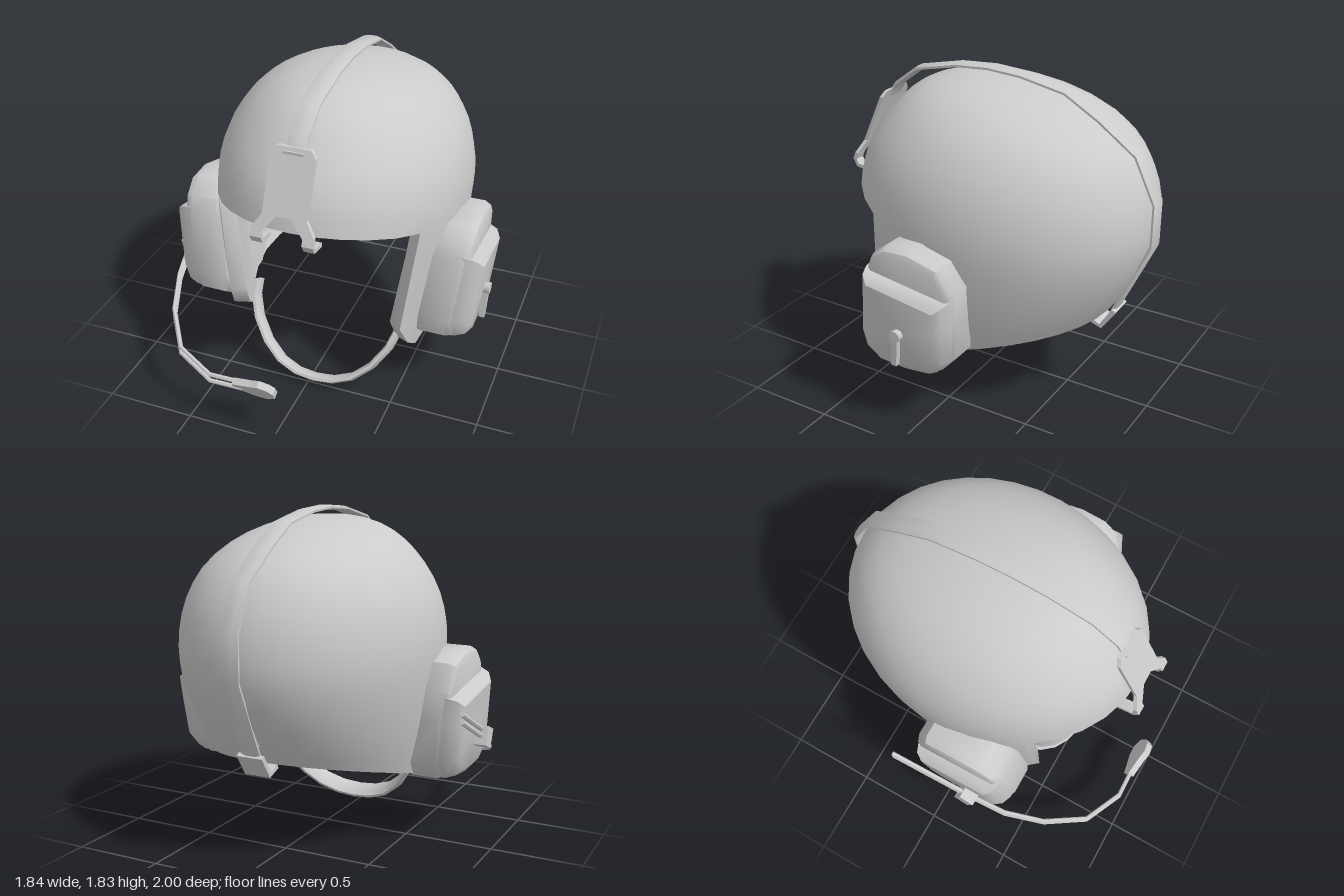
import * as THREE from 'three';
import { toCreasedNormals } from 'three/addons/utils/BufferGeometryUtils.js';

const V = (x, y, z) => new THREE.Vector3(x, y, z);
const clamp01 = (v) => Math.min(1, Math.max(0, v));
const CX = 0.02; // centre line of the helmet
const material = new THREE.MeshStandardMaterial({ color: 0xcccccc, side: THREE.DoubleSide });

function addMesh(parent, name, geometry) {
  const mesh = new THREE.Mesh(geometry, material);
  mesh.name = name;
  parent.add(mesh);
  return mesh;
}

// Skin over rows of points; every row is a closed loop of equal length
function skin(rows, crease = 0.75) {
  const out = [];
  const tri = (a, b, c) => {
    const area = b.clone().sub(a).cross(c.clone().sub(a)).length();
    if (area > 1e-7) for (const p of [a, b, c]) out.push(p.x, p.y, p.z);
  };
  const n = rows[0].length;
  for (let i = 0; i < rows.length - 1; i++) {
    for (let j = 0; j < n; j++) {
      const k = (j + 1) % n;
      tri(rows[i][j], rows[i + 1][j], rows[i][k]);
      tri(rows[i + 1][j], rows[i + 1][k], rows[i][k]);
    }
  }
  const geometry = new THREE.BufferGeometry();
  geometry.setAttribute('position', new THREE.Float32BufferAttribute(out, 3));
  return toCreasedNormals(geometry, crease);
}

// Band with an oval (8 sides) or square (4 sides) section; side is its width direction
function sweep(points, side, halfW, halfT, sides = 8) {
  const rows = points.map((p, i) => {
    const t = points[Math.min(i + 1, points.length - 1)].clone()
      .sub(points[Math.max(i - 1, 0)]).normalize();
    const s = side.clone().addScaledVector(t, -side.dot(t)).normalize();
    const n = s.clone().cross(t);
    const k = sides === 4 ? Math.SQRT2 : 1;
    return Array.from({ length: sides }, (_, j) => {
      const a = ((j + 0.5) / sides) * Math.PI * 2;
      return p.clone().addScaledVector(s, Math.cos(a) * halfW * k)
        .addScaledVector(n, Math.sin(a) * halfT * k);
    });
  });
  const cap = (p) => Array.from({ length: sides }, () => p);
  return skin([cap(points[0]), ...rows, cap(points[points.length - 1])]);
}

// Point on the shell at height y and angle a from the front; inset gives the lining
function shellPoint(y, a, inset) {
  let w, front, back;
  if (y > 1.08) {
    const f = Math.pow(Math.max(0, 1 - Math.pow((y - 1.08) / 0.71, 2.2)), 1 / 2.2);
    const c = -0.1 + 0.14 * clamp01((y - 1.5) / 0.29) ** 2;
    [w, front, back] = [0.705 * f, c + 0.87 * f, c - 0.87 * f];
  } else {
    w = 0.705 - 0.14 * Math.pow((1.08 - y) / 0.8, 1.5);
    [front, back] = [0.77, -0.97 + 0.23 * Math.pow((1.08 - y) / 0.52, 1.7)];
  }
  const b = THREE.MathUtils.radToDeg(Math.acos(Math.cos(a)));
  const cheek = clamp01((b - 44) / 11) * clamp01((105 - b) / 30) * clamp01((1.3 - y) / 0.3);
  const t = inset ? 0.02 + 0.07 * cheek : 0;
  return V(CX + Math.max(0, w - t) * Math.sin(a),
    y - (inset ? 0.02 * clamp01((y - 1.2) / 0.5) : 0),
    (front + back) / 2 + Math.max(0, (front - back) / 2 - t) * Math.cos(a));
}

function shellGeometry() {
  // Columns: brim over the face, then the skirt from cheek round the back to cheek
  const columns = [];
  for (let i = 0; i <= 10; i++) columns.push({ deg: -55 + i * 11, skirt: false });
  for (let i = 0; i <= 24; i++) columns.push({ deg: 55 + (i * 250) / 24, skirt: true });
  for (const col of columns) {
    col.a = THREE.MathUtils.degToRad(col.deg);
    const c = Math.cos(col.a), b = THREE.MathUtils.radToDeg(Math.acos(c));
    col.join = 1.1 + 0.09 * clamp01((c - 0.6) / 0.4);
    if (!col.skirt) col.bottom = col.join;
    else if (b < 75) col.bottom = 0.29 + 0.21 * Math.pow((75 - b) / 20, 1.5);
    else col.bottom = 0.29 + 0.27 * ((0.259 - c) / 1.259);
  }
  const rowAt = (i, inset) => columns.map((col) => {
    const y = i <= 12
      ? 1.79 - (1.79 - col.join) * (1 - Math.cos((i / 12) * Math.PI / 2))
      : col.join + (col.bottom - col.join) * ((i - 12) / 8);
    return shellPoint(y, col.a, inset);
  });
  const rows = [];
  for (let i = 0; i <= 20; i++) rows.push(rowAt(i, false));
  for (let i = 20; i >= 0; i--) rows.push(rowAt(i, true));
  return skin(rows, 0.8);
}

// Outline in (z, y) stacked outwards along x, each level scaled about a centre
function cupGeometry(outline, levels, cz, cy) {
  const ring = ([x, s]) => outline.map(([z, y]) => {
    const py = cy + (y - cy) * s;
    return V(x + (py - 0.7) * 0.1, py, cz + (z - cz) * s);
  });
  return skin([ring([levels[0][0], 0]), ...levels.map(ring), ring([levels.at(-1)[0], 0])], 0.7);
}

function earCup(name) {
  const cup = new THREE.Group();
  cup.name = name;
  const lower = [[-0.235, 0.7], [-0.21, 0.46], [-0.12, 0.36], [0.05, 0.34], [0.23, 0.35], [0.32, 0.42], [0.34, 0.53]];
  const full = [[0.25, 0.99], [0.16, 1.06], [0, 1.07], [-0.18, 1.02], [-0.25, 0.88], ...lower, [0.29, 0.9]];
  addMesh(cup, 'cupBody', cupGeometry(full,
    [[0.59, 0.95], [0.62, 1], [0.77, 1], [0.81, 0.95], [0.825, 0.87]], 0.04, 0.7));
  // Raised outer cover, stopping at a slanted ledge below the top
  addMesh(cup, 'cupCover', cupGeometry([[0.285, 0.93], [-0.245, 0.85], ...lower],
    [[0.74, 0.985], [0.81, 0.97], [0.865, 0.9], [0.895, 0.76]], 0.04, 0.62));
  return cup;
}

export function createModel() {
  const model = new THREE.Group();
  model.name = 'helmet';
  const X = V(1, 0, 0), Y = V(0, 1, 0);
  const inProfile = (x, list) => list.map(([z, y]) => V(x, y, z));

  addMesh(model, 'shell', shellGeometry());

  // Ear cups; the right one is mirrored and sits slightly further forward
  const leftCup = earCup('leftEarCup');
  const rightCup = earCup('rightEarCup');
  rightCup.scale.x = -1;
  rightCup.position.set(2 * CX, 0.015, 0.08);
  model.add(leftCup, rightCup);

  // Small lever on the left cup
  addMesh(leftCup, 'lever', sweep([V(0.9, 0.61, 0.05), V(0.89, 0.42, 0.072)], X, 0.016, 0.016, 4));
  const pivot = addMesh(leftCup, 'leverPivot', new THREE.CylinderGeometry(0.033, 0.033, 0.05, 8));
  pivot.rotation.z = Math.PI / 2;
  pivot.position.set(0.895, 0.605, 0.05);

  // Strap over the crown, its rear clip and the pad inside the back
  addMesh(model, 'crownStrap', sweep(inProfile(0.025, [[0.65, 1.58], [0.61, 1.65], [0.46, 1.76],
    [0.2, 1.815], [0, 1.828], [-0.2, 1.815], [-0.46, 1.765], [-0.66, 1.65], [-0.87, 1.5],
    [-0.985, 1.26], [-0.985, 1.02], [-0.83, 0.68], [-0.77, 0.55]]), X, 0.058, 0.015));
  addMesh(model, 'rearClip', sweep(inProfile(0.025,
    [[-0.81, 0.61], [-0.735, 0.495], [-0.66, 0.525]]), X, 0.075, 0.013, 4));
  addMesh(model, 'rearPad', sweep(inProfile(0.025,
    [[-0.91, 0.93], [-0.865, 0.8], [-0.8, 0.67]]), X, 0.055, 0.015, 4));

  // Forked front plate, sheared to lean out over the brim
  const half = [[0.09, 1.615], [0.12, 1.58], [0.12, 1.3], [0.17, 1.23], [0.17, 1.19],
    [0.11, 1.19], [0.11, 1.22], [0.04, 1.3]];
  const outline = [...half, ...half.map(([x, y]) => [-x, y]).reverse()];
  const plate = new THREE.ExtrudeGeometry(
    new THREE.Shape(outline.map(([x, y]) => new THREE.Vector2(x + 0.02, y))),
    { depth: 0.022, bevelEnabled: false });
  const pos = plate.attributes.position;
  for (let i = 0; i < pos.count; i++) {
    pos.setZ(i, pos.getZ(i) + 0.635 + (1.615 - pos.getY(i)) * 0.46);
  }
  plate.computeVertexNormals();
  addMesh(model, 'frontPlate', plate);
  const bar = addMesh(model, 'plateBar', new THREE.BoxGeometry(0.11, 0.014, 0.02));
  bar.position.set(CX, 1.59, 0.664);
  for (const s of [-1, 1]) {
    addMesh(model, s > 0 ? 'leftHook' : 'rightHook', sweep(inProfile(CX + s * 0.14,
      [[0.822, 1.23], [0.838, 1.19], [0.82, 1.155], [0.78, 1.15], [0.73, 1.14]]), X, 0.03, 0.011, 4));
  }

  // Chin strap: a U in a plane leaning forward
  const half2 = [[0.44, 0.47], [0.44, 0.39], [0.4, 0.28], [0.32, 0.17], [0.22, 0.09], [0.11, 0.05]];
  const chin = [...half2.map(([x, y]) => [-x, y]), [0, 0.04], ...half2.reverse()]
    .map(([x, y]) => V(0.04 + x, y, 0.485 - (y - 0.04) * 0.52));
  addMesh(model, 'chinStrap', sweep(chin, V(0, 0.46, 0.89), 0.06, 0.022));

  // Twin-rod microphone boom with its bracket
  const boom = [[-0.905, 0.79, -0.26], [-0.87, 0.6, 0.18], [-0.84, 0.48, 0.42], [-0.76, 0.4, 0.64],
    [-0.61, 0.325, 0.85], [-0.38, 0.285, 0.955], [-0.19, 0.285, 0.95]];
  for (const s of [-1, 1]) {
    addMesh(model, s > 0 ? 'upperBoomRod' : 'lowerBoomRod',
      sweep(boom.map(([x, y, z]) => V(x, y + s * 0.021, z)), Y, 0.013, 0.013, 6));
  }
  const bracket = addMesh(model, 'boomBracket', new THREE.BoxGeometry(0.085, 0.11, 0.09));
  bracket.position.set(-0.868, 0.58, 0.19);
  bracket.rotation.x = 0.4;

  // Paddle-shaped microphone
  const mic = new THREE.Shape([[-0.12, -0.025], [-0.06, -0.045], [0.01, -0.07], [0.07, -0.07],
    [0.12, -0.03], [0.12, 0.025], [0.095, 0.06], [0.04, 0.075], [-0.01, 0.055], [-0.12, 0.025]]
    .map(([x, y]) => new THREE.Vector2(x, y)));
  const micGeo = new THREE.ExtrudeGeometry(mic, { depth: 0.04, bevelEnabled: false });
  micGeo.translate(0, 0, -0.02);
  const micMesh = addMesh(model, 'microphone', micGeo);
  micMesh.position.set(-0.12, 0.288, 0.948);
  micMesh.rotation.x = 0.5;

  return model;
}
